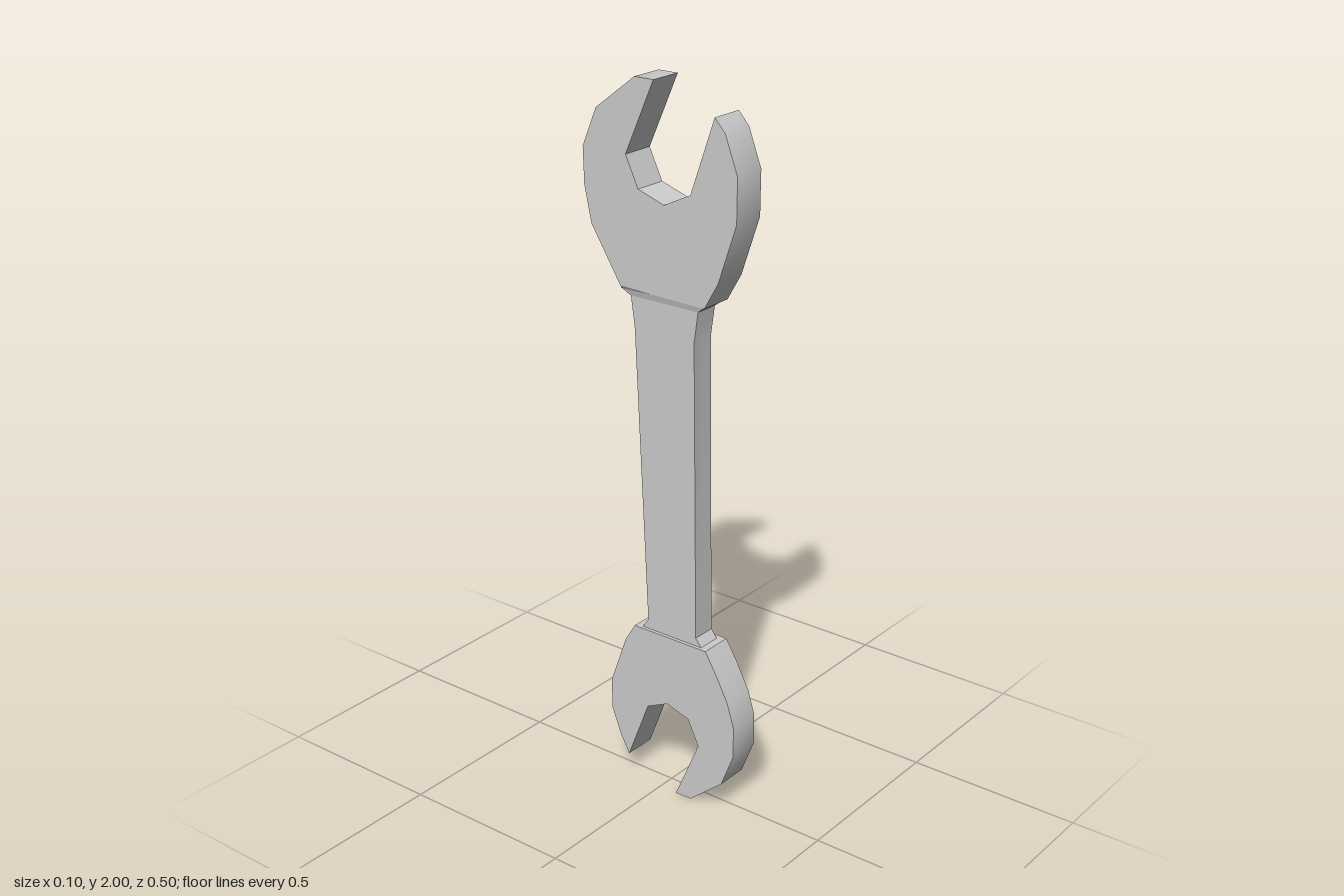
import * as THREE from 'three';
import { toCreasedNormals } from 'three/addons/utils/BufferGeometryUtils.js';

const material = new THREE.MeshStandardMaterial({ color: 0xcccccc });

// Flat part: outline of [z, y] points, spanning x0..x1
function plate(name, outline, x0, x1) {
  const shape = new THREE.Shape(outline.map(([z, y]) => new THREE.Vector2(-z, y)));
  const geometry = new THREE.ExtrudeGeometry(shape, { depth: x1 - x0, bevelEnabled: false });
  geometry.rotateY(Math.PI / 2).translate(x0, 0, 0);
  const mesh = new THREE.Mesh(toCreasedNormals(geometry, 0.65), material);
  mesh.name = name;
  return mesh;
}

// Tapered block between two rectangles { y, x: [min, max], z: [min, max] }
function taper(name, bottom, top) {
  const geometry = new THREE.BoxGeometry(1, 1, 1);
  const p = geometry.attributes.position;
  for (let i = 0; i < p.count; i++) {
    const end = p.getY(i) > 0 ? top : bottom;
    p.setXYZ(i, end.x[p.getX(i) > 0 ? 1 : 0], end.y, end.z[p.getZ(i) > 0 ? 1 : 0]);
  }
  const flat = geometry.toNonIndexed();
  flat.computeVertexNormals();
  const mesh = new THREE.Mesh(flat, material);
  mesh.name = name;
  return mesh;
}

export function createModel() {
  const wrench = new THREE.Group();
  wrench.name = 'openEndWrench';

  // Large jaw, opening upwards
  wrench.add(plate('upperJaw', [
    [-0.02, 2], [-0.08, 2], [-0.205, 1.905], [-0.25, 1.8], [-0.247, 1.7], [-0.225, 1.6],
    [-0.13, 1.45], [0.14, 1.445], [0.183, 1.52], [0.237, 1.68], [0.238, 1.8], [0.2, 1.9],
    [0.168, 1.935], [0.095, 1.73], [0.012, 1.69], [-0.07, 1.717], [-0.11, 1.8],
  ], -0.047, 0.05));

  // Sloped step from the handle to the large jaw
  wrench.add(taper('upperCollar',
    { y: 1.43, x: [-0.042, 0.028], z: [-0.1, 0.117] },
    { y: 1.448, x: [-0.047, 0.05], z: [-0.13, 0.14] }));

  // Handle, flaring at both ends
  wrench.add(plate('handle', [
    [0.117, 1.43], [0.105, 1.345], [0.115, 0.505], [0.135, 0.48],
    [-0.068, 0.48], [-0.048, 0.51], [-0.088, 1.345], [-0.1, 1.43],
  ], -0.042, 0.028));

  // Small jaw, opening downwards
  wrench.add(plate('lowerJaw', [
    [0.155, 0.482], [-0.088, 0.482], [-0.12, 0.43], [-0.172, 0.285], [-0.172, 0.195],
    [-0.14, 0.115], [-0.112, 0.065], [-0.043, 0.243], [0.025, 0.275], [0.098, 0.252],
    [0.133, 0.18], [0.056, 0], [0.108, 0.002], [0.213, 0.09], [0.252, 0.19],
    [0.252, 0.28], [0.23, 0.35], [0.193, 0.42],
  ], -0.052, 0.043));

  return wrench;
}
